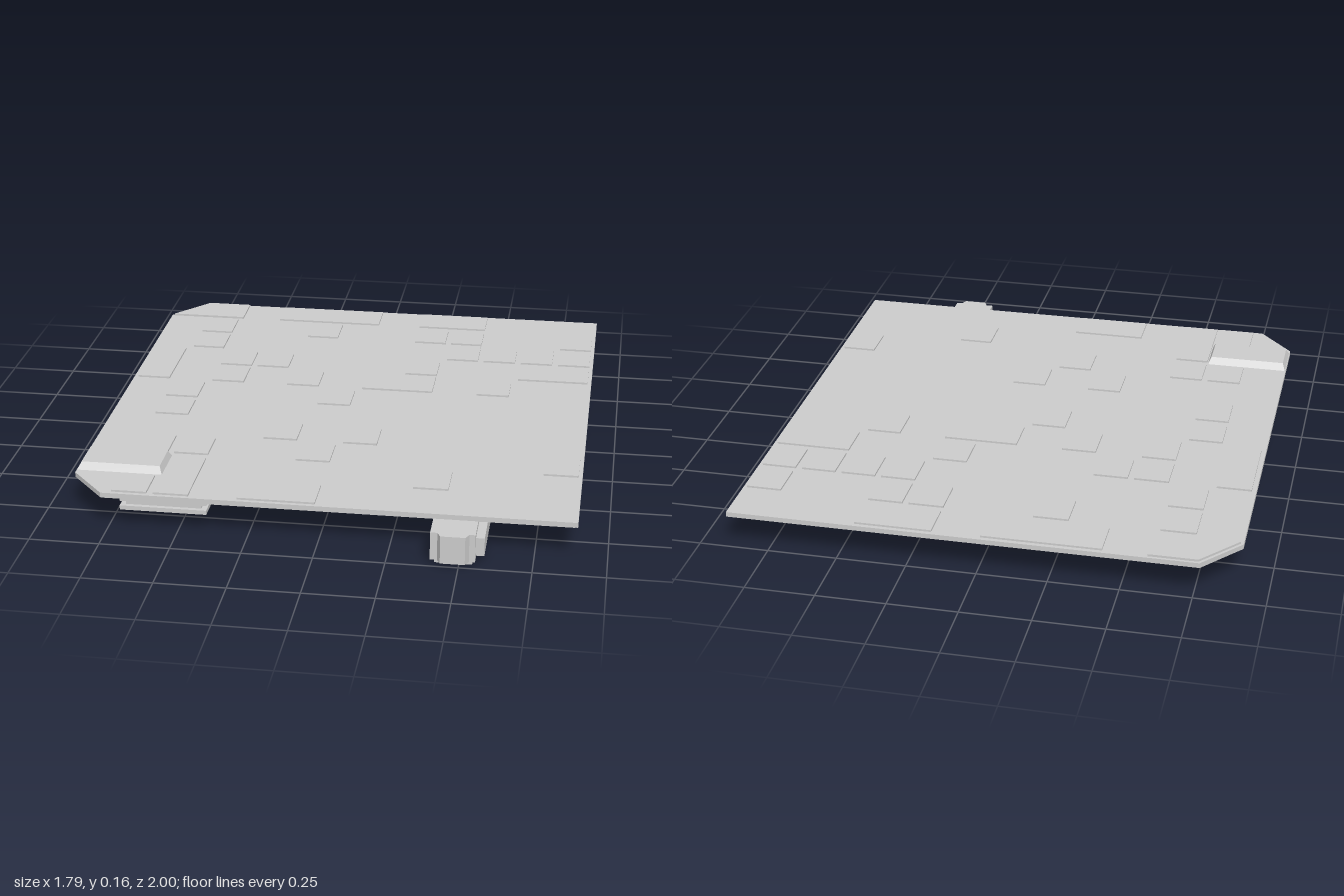
import * as THREE from 'three';

const material = new THREE.MeshStandardMaterial({ color: 0xcccccc, flatShading: true });

function add(parent, name, geometry) {
  const mesh = new THREE.Mesh(geometry, material);
  mesh.name = name;
  parent.add(mesh);
  return mesh;
}

// Box given by its limits on each axis
function box(parent, name, [x0, x1], [y0, y1], [z0, z1]) {
  const mesh = add(parent, name, new THREE.BoxGeometry(x1 - x0, y1 - y0, z1 - z0));
  mesh.position.set((x0 + x1) / 2, (y0 + y1) / 2, (z0 + z1) / 2);
  return mesh;
}

// Flat slab from an outline of [x, z] points
function slab(parent, name, points, y0, y1) {
  const shape = new THREE.Shape(points.map(([x, z]) => new THREE.Vector2(x, -z)));
  const geometry = new THREE.ExtrudeGeometry(shape, { depth: y1 - y0, bevelEnabled: false });
  geometry.rotateX(-Math.PI / 2);
  add(parent, name, geometry).position.y = y0;
}

// Panel outline with its two right corners cut, shrunk by an inset
function panelOutline(i) {
  return [
    [-0.77, 0.88 - i], [0.895 - i, 0.88 - i], [0.895 - i, -1 + i],
    [-0.77, -1 + i], [-0.9 + i, -0.845], [-0.9 + i, 0.73],
  ];
}

export function createModel() {
  const model = new THREE.Group();
  model.name = 'panel';

  // Main panel with a thin inset underside
  slab(model, 'panelTop', panelOutline(0), 0.12, 0.138);
  slab(model, 'panelUnderside', panelOutline(0.01), 0.114, 0.12);

  // Raised surface tiles: column, row, columns spanned, rows spanned
  const tiles = new THREE.Group();
  tiles.name = 'surfaceTiles';
  model.add(tiles);
  const single = [
    [1, 1], [1, 2], [2, 3], [3, 3], [2, 4], [1, 5], [1, 6], [4, 4], [5, 5],
    [4, 1], [4, 7], [5, 8], [6, 7], [8, 9], [11, 8], [9, 4], [7, 3], [7, 1],
    [8, 1], [8, 2], [9, 2], [10, 2], [11, 2], [11, 1], [2, 8], [1, 8], [1, 10],
  ];
  const wide = [
    [3, 0, 3, 1], [7, 0, 2, 1], [0, 3, 1, 2], [6, 4, 2, 1],
    [10, 3, 2, 1], [4, 10, 2, 1], [2, 9, 1, 2],
  ];
  for (const [column, row, across = 1, deep = 1] of [...single, ...wide]) {
    const x = -0.895 + 0.149 * column;
    const z = -1 + 0.171 * row;
    box(tiles, 'tile', [x + 0.012, x + 0.149 * across - 0.012], [0.136, 0.145],
      [z + 0.015, z + 0.171 * deep - 0.015]);
  }

  // Cut corner plate at the back
  slab(model, 'cornerPlate',
    [[-0.89, -0.842], [-0.592, -0.842], [-0.592, -0.99], [-0.765, -0.99]], 0.136, 0.146);

  // Raised block with sloping sides
  const block = box(model, 'raisedBlock', [-0.898, -0.588], [0.136, 0.163], [0.54, 0.71]);
  const corners = block.geometry.attributes.position;
  for (let i = 0; i < corners.count; i++) {
    if (corners.getY(i) > 0) {
      corners.setX(i, corners.getX(i) - Math.sign(corners.getX(i)) * 0.012);
      corners.setZ(i, corners.getZ(i) - Math.sign(corners.getZ(i)) * 0.02);
    }
  }
  block.geometry.computeVertexNormals();

  // Layered foot under the right front corner
  const foot = new THREE.Group();
  foot.name = 'layeredFoot';
  model.add(foot);
  box(foot, 'footTop', [-0.71, -0.4], [0.096, 0.116], [0.69, 0.85]);
  box(foot, 'footNeck', [-0.69, -0.42], [0.076, 0.098], [0.705, 0.835]);
  box(foot, 'footBase', [-0.71, -0.4], [0.062, 0.078], [0.69, 0.85]);

  // Connector block jutting out at the left front
  const connector = new THREE.Group();
  connector.name = 'connector';
  model.add(connector);
  slab(connector, 'connectorBody', [
    [0.4, 0.69], [0.4, 0.975], [0.425, 0.975], [0.437, 1], [0.522, 1],
    [0.534, 0.975], [0.555, 0.975], [0.555, 0.69],
  ], 0.012, 0.115);
  box(connector, 'connectorSide', [0.55, 0.585], [0.03, 0.097], [0.7, 0.96]);
  box(connector, 'connectorBase', [0.415, 0.545], [0, 0.014], [0.7, 0.97]);

  return model;
}
